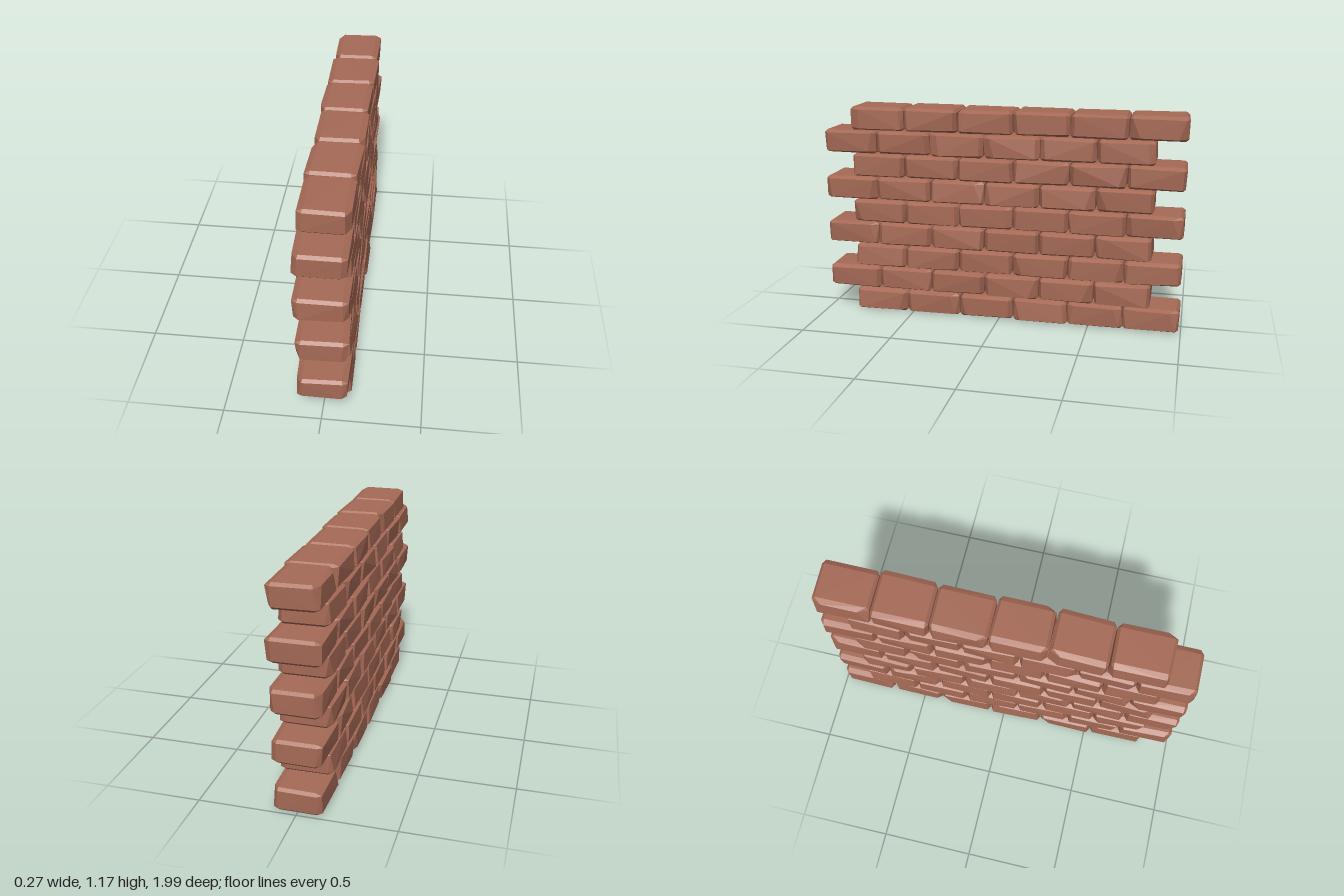
import * as THREE from 'three';
import { ConvexGeometry } from 'three/addons/geometries/ConvexGeometry.js';

const ROWS = 9, PER_ROW = 6;
const PITCH_Y = 0.13, PITCH_Z = 0.304, STAGGER = 0.08;

// Small seeded generator, so the wear is the same every time
function makeRandom(seed) {
  return () => {
    seed = (seed * 1664525 + 1013904223) % 4294967296;
    return seed / 4294967296;
  };
}

// Bevelled block: each corner becomes three points, worn by a small random amount
function brickGeometry(random) {
  const range = (a, b) => a + (b - a) * random();
  const points = [];
  for (const sx of [-1, 1]) for (const sy of [-1, 1]) for (const sz of [-1, 1]) {
    const hx = range(0.121, 0.136);
    const hy = range(0.0615, 0.0645);
    const hz = range(0.145, 0.153);
    const chip = random() < 0.2 ? range(0.03, 0.06) : range(0.012, 0.024);
    points.push(
      new THREE.Vector3(sx * (hx - 0.03), sy * hy, sz * (hz - 0.015)),
      new THREE.Vector3(sx * hx, sy * (hy - range(0.01, 0.016)), sz * (hz - chip)),
      new THREE.Vector3(sx * (hx - 0.026), sy * (hy - 0.014), sz * hz),
    );
  }
  return new ConvexGeometry(points);
}

export function createModel() {
  const brickRed = new THREE.MeshStandardMaterial({ color: 0xa66a56, flatShading: true });
  brickRed.name = 'brickRed';
  const random = makeRandom(17);

  const wall = new THREE.Group();
  wall.name = 'brickWall';

  // Courses alternate backward and forward by half the stagger
  for (let row = 0; row < ROWS; row++) {
    const course = new THREE.Group();
    course.name = `course${row + 1}`;
    course.position.set(0, (row + 0.5) * PITCH_Y, row % 2 ? STAGGER : -STAGGER);
    for (let i = 0; i < PER_ROW; i++) {
      const brick = new THREE.Mesh(brickGeometry(random), brickRed);
      brick.name = `brick${i + 1}`;
      brick.position.z = (i - (PER_ROW - 1) / 2) * PITCH_Z;
      course.add(brick);
    }
    wall.add(course);
  }
  return wall;
}
